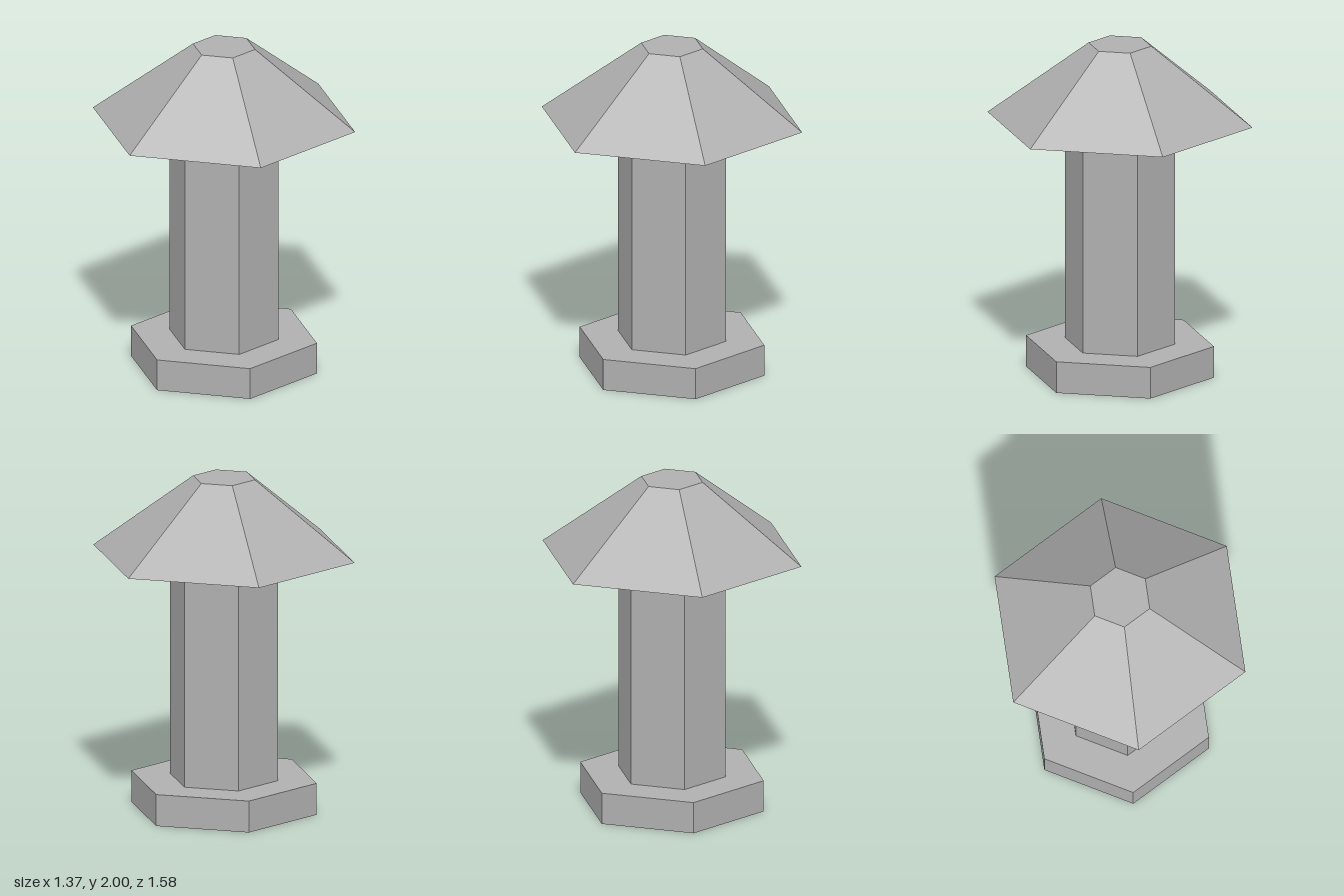
import * as THREE from 'three';

export function createModel() {
  const group = new THREE.Group();
  group.name = 'hexagonalLantern';
  const stone = new THREE.MeshStandardMaterial({ color: 0xb0b0b0, flatShading: true });
  stone.name = 'stone grey';

  // Six-sided section with corners facing front and back
  function addSection(name, bottomRadius, topRadius, y0, y1) {
    const geometry = new THREE.CylinderGeometry(topRadius, bottomRadius, y1 - y0, 6);
    const mesh = new THREE.Mesh(geometry, stone);
    mesh.name = name;
    mesh.position.y = (y0 + y1) / 2;
    group.add(mesh);
  }

  addSection('base', 0.56, 0.56, 0, 0.19);
  addSection('column', 0.327, 0.327, 0.19, 1.54);
  addSection('cap', 0.79, 0.187, 1.54, 2);

  return group;
}
